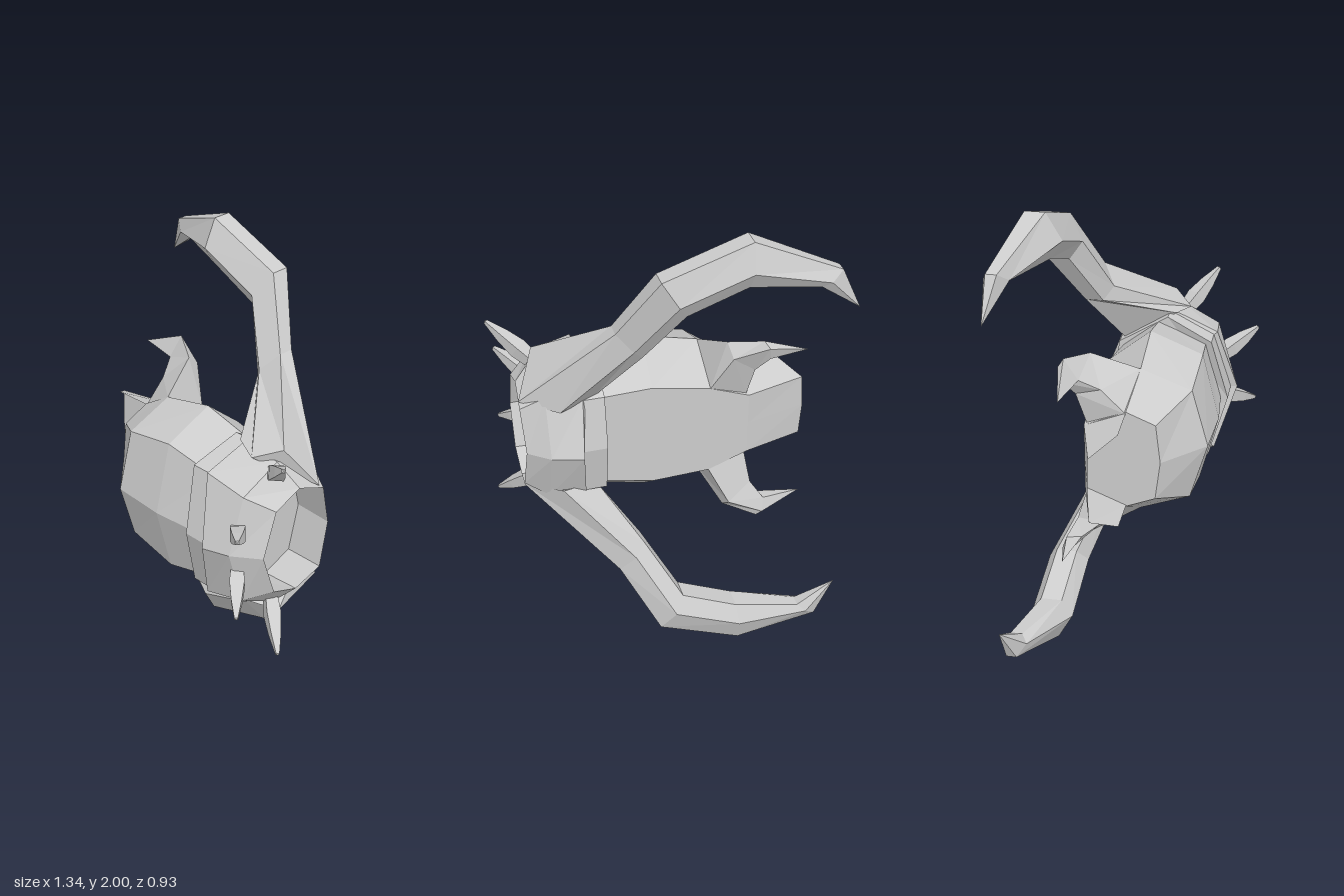
import * as THREE from 'three';

const material = new THREE.MeshStandardMaterial({ color: 0xcccccc, flatShading: true, side: THREE.DoubleSide });

// Skin a list of rings of [x, y, z] points; y is measured from the mid plane.
function loft(name, rings, { start = false, end = false, closed = true } = {}) {
  const pos = [];
  const tri = (...pts) => pts.forEach(([x, y, z]) => pos.push(x, y + 1, z));
  const n = rings[0].length;
  for (let i = 0; i < rings.length - 1; i++) {
    for (let j = 0; j < (closed ? n : n - 1); j++) {
      const k = (j + 1) % n;
      const a = rings[i][j], b = rings[i][k], c = rings[i + 1][k], d = rings[i + 1][j];
      tri(a, d, c);
      tri(a, c, b);
    }
  }
  const last = rings[rings.length - 1];
  for (let j = 1; j < n - 1; j++) {
    if (start) tri(rings[0][0], rings[0][j], rings[0][j + 1]);
    if (end) tri(last[0], last[j + 1], last[j]);
  }
  const g = new THREE.BufferGeometry();
  g.setAttribute('position', new THREE.Float32BufferAttribute(pos, 3));
  g.computeVertexNormals();
  const mesh = new THREE.Mesh(g, material);
  mesh.name = name;
  return mesh;
}

// Complete a half section (front to back) with its lower mirror image.
function mirrorRing(half) {
  const lower = half.filter(p => p[1] !== 0).reverse().map(([x, y, z]) => [x, -y, z]);
  return [...half, ...lower];
}

// Mirror rings through the mid plane, keeping the outside facing out.
const flip = rings => rings.map(r => [...r].reverse().map(([x, y, z]) => [x, -y, z]));

export function createModel() {
  const model = new THREE.Group();
  model.name = 'hornedBracer';

  // Barrel body with a flat back
  const bodySection = (x, f, sy, sz, ry, rz, by, bz) =>
    mirrorRing([[x, 0, f], [x, sy, sz], [x, ry, rz], [x, by, bz]]);
  model.add(loft('body', [
    bodySection(-0.35, 0.17, 0.17, 0.15, 0.22, 0.03, 0.145, -0.14),
    bodySection(-0.18, 0.34, 0.25, 0.27, 0.33, 0.06, 0.21, -0.14),
    bodySection(0.06, 0.355, 0.295, 0.28, 0.385, 0.06, 0.24, -0.115),
    bodySection(0.30, 0.335, 0.245, 0.265, 0.325, 0.06, 0.21, -0.085),
  ], { start: true, end: true }));

  // Open trough that carries the back of the body onward
  model.add(loft('tailGuard', [
    mirrorRing([[-0.52, 0.21, 0.03], [-0.61, 0.145, -0.07], [-0.62, 0, -0.07]]),
    mirrorRing([[-0.35, 0.215, 0.03], [-0.35, 0.145, -0.14], [-0.35, 0, -0.14]]),
  ], { closed: false }));

  // Collar between body and cup
  const collar = xs => mirrorRing([
    [xs[0], 0, 0.37], [xs[1], 0.275, 0.295], [xs[2], 0.36, 0.1], [xs[3], 0.23, -0.11], [xs[4], 0, -0.15]]);
  model.add(loft('collar', [
    collar([0.25, 0.22, 0.26, 0.26, 0.26]),
    collar([0.37, 0.32, 0.36, 0.36, 0.38]),
  ], { start: true, end: true }));

  // Hollow cup: outer wall, rim, then inner wall down to a floor
  model.add(loft('cup', [
    [[0.36, 0, 0.365], [0.30, 0.27, 0.29], [0.32, 0.32, 0.12], [0.34, 0.23, -0.1], [0.36, 0, -0.14]],
    [[0.37, 0, 0.398], [0.31, 0.285, 0.31], [0.33, 0.36, 0.12], [0.35, 0.24, -0.11], [0.37, 0, -0.2]],
    [[0.48, 0, 0.36], [0.49, 0.245, 0.295], [0.50, 0.335, 0.12], [0.50, 0.25, -0.08], [0.50, 0, -0.165]],
    [[0.59, 0, 0.28], [0.59, 0.19, 0.215], [0.59, 0.24, 0.085], [0.60, 0.19, -0.045], [0.59, 0, -0.095]],
    [[0.42, 0, 0.29], [0.42, 0.2, 0.225], [0.42, 0.25, 0.085], [0.42, 0.2, -0.055], [0.42, 0, -0.105]],
  ].map(mirrorRing), { end: true }));

  // Horn section: outer and inner outline points, back and front depth
  const hornSection = ([ox, oy], [ix, iy], back, front) => {
    const mx = ox * 0.4 + ix * 0.6, my = oy * 0.4 + iy * 0.6, d = front - back;
    return [[ox, oy, back + d * 0.22], [ox, oy, front - d * 0.34], [mx, my, front],
      [ix, iy, front - d * 0.26], [ix, iy, back + d * 0.24], [mx, my, back]];
  };
  const horn = [
    [[0.60, 0.21, -0.02], [0.515, 0.385, 0.1], [0.42, 0.345, 0.18],
      [0.31, 0.36, 0.13], [0.30, 0.22, -0.08], [0.45, 0.2, -0.13]],
    hornSection([0.24, 0.6], [0.13, 0.475], -0.265, -0.115),
    hornSection([0.09, 0.87], [-0.01, 0.71], -0.395, -0.215),
    hornSection([-0.26, 1.0], [-0.25, 0.81], -0.415, -0.23),
    hornSection([-0.59, 0.875], [-0.51, 0.81], -0.465, -0.365),
    Array(6).fill([-0.67, 0.70, -0.445]),
  ];

  // Hooked fin at the narrow end of the body
  const fin = [
    [[-0.18, 0.21, -0.14], [-0.18, 0.33, 0.06], [-0.35, 0.21, 0.03], [-0.34, 0.15, -0.13]],
    [[-0.26, 0.37, -0.19], [-0.25, 0.42, -0.13], [-0.35, 0.31, -0.07], [-0.36, 0.29, -0.17]],
    [[-0.40, 0.42, -0.23], [-0.38, 0.45, -0.21], [-0.39, 0.365, -0.15], [-0.41, 0.36, -0.21]],
    Array(4).fill([-0.58, 0.365, -0.19]),
  ];

  // Spikes on the front of the cup, given by base and tip
  const spikes = [
    [[0.50, 0.29, 0.14], [0.67, 0.435, 0.27]],
    [[0.47, 0.09, 0.30], [0.62, 0.18, 0.46]],
  ];
  const up = new THREE.Vector3(0, 1, 0);

  for (const side of [1, -1]) {
    const prefix = side > 0 ? 'upper' : 'lower';
    model.add(loft(prefix + 'Horn', side > 0 ? horn : flip(horn), { start: true }));
    model.add(loft(prefix + 'Fin', side > 0 ? fin : flip(fin), { start: true }));
    spikes.forEach(([base, tip], i) => {
      const a = new THREE.Vector3(base[0], 1 + side * base[1], base[2]);
      const b = new THREE.Vector3(tip[0], 1 + side * tip[1], tip[2]);
      const len = a.distanceTo(b);
      const profile = [[0, 0], [0.034, 0], [0.042, len * 0.32], [0.03, len * 0.65], [0.01, len * 0.98], [0, len]];
      const mesh = new THREE.Mesh(
        new THREE.LatheGeometry(profile.map(p => new THREE.Vector2(...p)), 4), material);
      mesh.position.copy(a);
      mesh.quaternion.setFromUnitVectors(up, b.sub(a).normalize());
      mesh.name = prefix + 'Spike' + (i + 1);
      model.add(mesh);
    });
  }
  return model;
}
